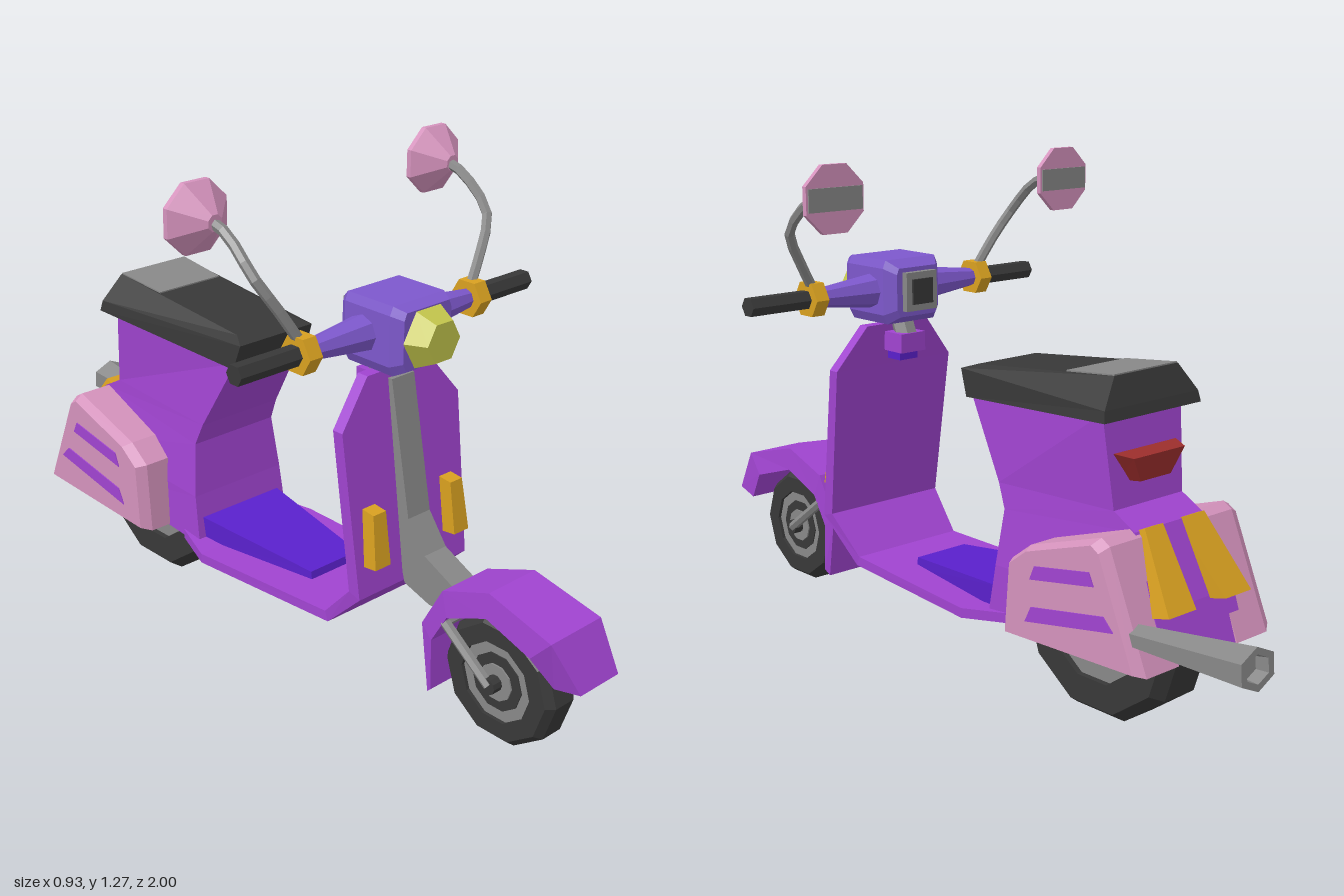
import * as THREE from 'three';

const mat = (name, color, side = THREE.FrontSide) => {
  const m = new THREE.MeshStandardMaterial({ color, flatShading: true, side });
  m.name = name;
  return m;
};

export function createModel() {
  const purple = mat('purple paint', 0xa044d0);
  const violet = mat('violet paint', 0x7d58cc);
  const blue = mat('blue mat', 0x5a20cc);
  const pink = mat('pink paint', 0xd492bc);
  const dark = mat('dark rubber', 0x383838, THREE.DoubleSide);
  const grey = mat('grey metal', 0x888888, THREE.DoubleSide);
  const amber = mat('amber', 0xd8a020);
  const lens = mat('headlight lens', 0xc4c64c);
  const red = mat('red lens', 0x9c2e2c);

  const model = new THREE.Group();
  model.name = 'scooter';

  const add = (name, geo, m, x = 0, y = 0, z = 0) => {
    const mesh = new THREE.Mesh(geo, m);
    mesh.name = name;
    mesh.position.set(x, y, z);
    model.add(mesh);
    return mesh;
  };

  // Skins equal-sized rings of [x,y,z] points, capped at both ends and facing outwards
  const loft = (rings) => {
    const n = rings[0].length, tris = [];
    for (let i = 0; i < rings.length - 1; i++) {
      for (let j = 0; j < n; j++) {
        const k = (j + 1) % n;
        const a = rings[i][j], b = rings[i][k], c = rings[i + 1][k], d = rings[i + 1][j];
        tris.push([a, b, c], [a, c, d]);
      }
    }
    const first = rings[0], last = rings[rings.length - 1];
    for (let j = 1; j < n - 1; j++) {
      tris.push([first[0], first[j + 1], first[j]], [last[0], last[j], last[j + 1]]);
    }
    const v = (p) => new THREE.Vector3(...p);
    const volume = tris.reduce((s, [a, b, c]) => s + v(a).dot(v(b).cross(v(c))), 0);
    if (volume < 0) tris.forEach((t) => t.reverse());
    const geo = new THREE.BufferGeometry();
    geo.setAttribute('position', new THREE.Float32BufferAttribute(tris.flat(2), 3));
    geo.computeVertexNormals();
    return geo;
  };

  // Thick band along rows of [outer z, outer y, inner z, inner y, left x, right x]
  const band = (rows, taper = 1) => loft(rows.map(([zo, yo, zi, yi, a, b]) => [
    [a, yi, zi], [a * taper, yo, zo], [b * taper, yo, zo], [b, yi, zi]]));

  // Four-cornered ring: front and back edge, each with its own height and half width
  const ring = (zf, yf, wf, zb, yb, wb) => [[-wf, yf, zf], [wf, yf, zf], [wb, yb, zb], [-wb, yb, zb]];

  const along = (geo, axis) => (axis === 'x' ? geo.rotateZ(-Math.PI / 2) : geo.rotateX(Math.PI / 2));
  const rod = (name, a, b, r, m) => {
    const p = new THREE.Vector3(...a), q = new THREE.Vector3(...b);
    add(name, new THREE.TubeGeometry(new THREE.LineCurve3(p, q), 1, r, 6), m);
  };

  // Wheels
  const wheel = (name, y, z, r, ri, w) => {
    const profile = [[ri, -w * 0.8], [ri, -w], [r * 0.9, -w], [r, -w * 0.6], [r, w * 0.6], [r * 0.9, w], [ri, w], [ri, w * 0.8]]
      .map((p) => new THREE.Vector2(...p));
    add(name + 'Tyre', along(new THREE.LatheGeometry(profile, 10), 'x'), dark, 0, y, z);
    const disc = (part, radius, half, m) =>
      add(name + part, along(new THREE.CylinderGeometry(radius, radius, half * 2, 10), 'x').rotateX(0), m, 0, y, z);
    disc('Rim', ri, w * 0.82, grey);
    disc('Recess', ri * 0.72, w * 0.88, dark);
    disc('Hub', ri * 0.46, w * 0.96, grey);
    disc('Axle', ri * 0.2, w + 0.025, dark);
  };
  wheel('front', 0.175, 0.77, 0.16, 0.1, 0.05);
  wheel('rear', 0.233, -0.44, 0.245, 0.15, 0.083);

  // Front mudguard, slightly turned at the tip
  add('frontMudguard', band([
    [1.0, 0.25, 0.93, 0.235, -0.045, 0.095], [0.94, 0.365, 0.89, 0.31, -0.085, 0.098],
    [0.76, 0.412, 0.76, 0.35, -0.082, 0.085], [0.625, 0.36, 0.645, 0.3, -0.082, 0.082],
    [0.565, 0.25, 0.6, 0.22, -0.08, 0.08], [0.59, 0.075, 0.605, 0.09, -0.08, 0.08]], 0.93), purple);

  // Leg shield and footboard in one bent band
  const sym = (zo, yo, zi, yi, w) => [zo, yo, zi, yi, -w, w];
  add('shieldAndFloor', band([
    sym(0.395, 0.82, 0.365, 0.82, 0.1), sym(0.41, 0.71, 0.38, 0.71, 0.19),
    sym(0.465, 0.305, 0.43, 0.315, 0.18), sym(0.345, 0.19, 0.335, 0.215, 0.165),
    sym(-0.1, 0.175, -0.1, 0.2, 0.19), sym(-0.22, 0.185, -0.22, 0.21, 0.15)]), purple);
  add('floorMat', loft([
    ring(0.2, 0.2, 0.08, -0.18, 0.2, 0.13), ring(0.195, 0.23, 0.08, -0.18, 0.26, 0.13)]), blue);

  // Steering column and fork
  add('steeringColumn', band([
    sym(0.41, 0.8, 0.37, 0.8, 0.036), sym(0.475, 0.47, 0.44, 0.4, 0.036),
    sym(0.53, 0.395, 0.47, 0.3, 0.036), sym(0.635, 0.345, 0.55, 0.275, 0.036),
    sym(0.66, 0.32, 0.63, 0.28, 0.036)]), grey);
  rod('headNeck', [0, 0.86, 0.36], [0, 0.78, 0.325], 0.03, grey);
  add('neckBracket', new THREE.BoxGeometry(0.08, 0.05, 0.07), purple, 0, 0.775, 0.335);
  add('neckBracketBase', new THREE.BoxGeometry(0.06, 0.025, 0.05), blue, 0, 0.74, 0.345);
  rod('forkBridge', [-0.072, 0.28, 0.63], [0.072, 0.28, 0.63], 0.014, grey);

  // Headset, gauge and headlight
  const oct = (z, w, h, c) => [[-w, c - h * 0.7], [-w * 0.85, c - h], [w * 0.85, c - h], [w, c - h * 0.7],
    [w, c + h * 0.75], [w * 0.9, c + h], [-w * 0.9, c + h], [-w, c + h * 0.75]].map(([x, y]) => [x, y, z]);
  add('headset', loft([oct(0.48, 0.075, 0.07, 0.915), oct(0.45, 0.09, 0.083, 0.913),
    oct(0.31, 0.09, 0.083, 0.913), oct(0.28, 0.068, 0.063, 0.913)]), violet);
  add('gaugeHousing', new THREE.BoxGeometry(0.1, 0.1, 0.03), grey, 0, 0.915, 0.278);
  add('gaugeFace', new THREE.BoxGeometry(0.065, 0.065, 0.008), dark, 0, 0.915, 0.261);
  add('headlight', along(new THREE.CylinderGeometry(0.052, 0.077, 0.05, 6).rotateY(Math.PI / 6), 'z'), lens, 0, 0.915, 0.505);

  // Parts mirrored left and right
  for (const [side, s] of [['left', 1], ['right', -1]]) {
    rod(side + 'ForkLeg', [s * 0.07, 0.28, 0.63], [s * 0.07, 0.175, 0.77], 0.013, grey);

    // Handlebar, grip and collar
    const bar = new THREE.CylinderGeometry(s > 0 ? 0.023 : 0.046, s > 0 ? 0.046 : 0.023, 0.19, 8);
    add(side + 'Handlebar', along(bar, 'x'), violet, s * 0.17, 0.913, 0.365);
    add(side + 'Grip', along(new THREE.CylinderGeometry(0.025, 0.025, 0.2, 6), 'x'), dark, s * 0.365, 0.913, 0.365);
    add(side + 'Collar', along(new THREE.CylinderGeometry(0.048, 0.048, 0.038, 6), 'x'), amber, s * 0.273, 0.913, 0.365);

    // Mirror on its bent stem
    const stem = new THREE.CatmullRomCurve3([[0.275, 0.94, 0.36], [0.325, 1.02, 0.345], [0.367, 1.09, 0.32],
      [0.37, 1.17, 0.235], [0.37, 1.188, 0.18]].map(([x, y, z]) => new THREE.Vector3(s * x, y, z)));
    add(side + 'MirrorStem', new THREE.TubeGeometry(stem, 8, 0.013, 6), grey);
    const shell = [[0, 0.2, 0.02], [0, 0.14, 0.087], [0, 0.127, 0.087]].map(([, z, r]) =>
      Array.from({ length: 8 }, (_, i) => {
        const a = (i + 0.5) * Math.PI / 4;
        return [s * 0.372 + r * 1.03 * Math.cos(a), 1.187 + r * Math.sin(a), z];
      }));
    add(side + 'MirrorShell', loft(shell), pink);
    add(side + 'MirrorGlass', new THREE.BoxGeometry(0.155, 0.055, 0.006), grey, s * 0.372, 1.187, 0.126);

    // Front indicator and tail strip
    add(side + 'FrontIndicator', band([
      [0.472, 0.515, 0.43, 0.52, s * 0.108, s * 0.148],
      [0.492, 0.385, 0.45, 0.38, s * 0.108, s * 0.157]]), amber);
    add(side + 'TailStrip', band([
      [-0.61, 0.505, -0.575, 0.49, s * 0.04, s * 0.1],
      [-0.722, 0.335, -0.66, 0.32, s * 0.05, s * 0.14]]), amber);

    // Side panel with two vents
    const outline = [[-0.285, 0.2], [-0.3, 0.385], [-0.36, 0.43], [-0.58, 0.5], [-0.605, 0.485], [-0.72, 0.215]];
    const slice = (pts, x, k) => pts.map(([z, y]) => [s * x, 0.33 + (y - 0.33) * k, -0.49 + (z + 0.49) * k]);
    add(side + 'Panel', loft([slice(outline, 0.1, 1), slice(outline, 0.205, 1), slice(outline, 0.232, 0.92)]), pink);
    const vents = [[[-0.385, 0.36], [-0.4, 0.395], [-0.57, 0.425], [-0.585, 0.395]],
      [[-0.37, 0.255], [-0.39, 0.295], [-0.615, 0.335], [-0.645, 0.305]]];
    vents.forEach((v, i) =>
      add(side + 'Vent' + (i + 1), loft([slice(v, 0.23, 1), slice(v, 0.235, 1)]), purple));
  }

  // Rear body
  add('rearBody', loft([
    ring(-0.155, 0.19, 0.15, -0.715, 0.215, 0.135), ring(-0.175, 0.32, 0.145, -0.675, 0.33, 0.135),
    ring(-0.19, 0.46, 0.13, -0.595, 0.495, 0.115), ring(-0.165, 0.52, 0.125, -0.53, 0.53, 0.115),
    ring(-0.05, 0.72, 0.11, -0.505, 0.75, 0.13)]), purple);

  // Seat with a grey pad at the back
  add('seat', loft([
    ring(-0.045, 0.708, 0.122, -0.54, 0.738, 0.16), ring(-0.022, 0.775, 0.118, -0.535, 0.765, 0.155),
    ring(-0.06, 0.788, 0.095, -0.515, 0.833, 0.105)]), dark);
  add('seatPad', loft([
    ring(-0.36, 0.815, 0.098, -0.513, 0.83, 0.104), ring(-0.36, 0.821, 0.098, -0.513, 0.836, 0.104)]), grey);

  // Tail light
  add('tailLight', loft([
    ring(-0.49, 0.585, 0.065, -0.55, 0.59, 0.05), ring(-0.49, 0.66, 0.115, -0.56, 0.65, 0.085)]), red);

  // Flared exhaust on the left
  const pipe = [[0.033, 0], [0.06, 0.35], [0.04, 0.35], [0.035, 0.32], [0, 0.32]].map((p) => new THREE.Vector2(...p));
  const exhaust = add('exhaust', new THREE.LatheGeometry(pipe, 6).scale(1, 1, 0.8), grey, 0.185, 0.293, -0.65);
  exhaust.rotation.x = -Math.PI / 2 + 0.075;

  return model;
}
